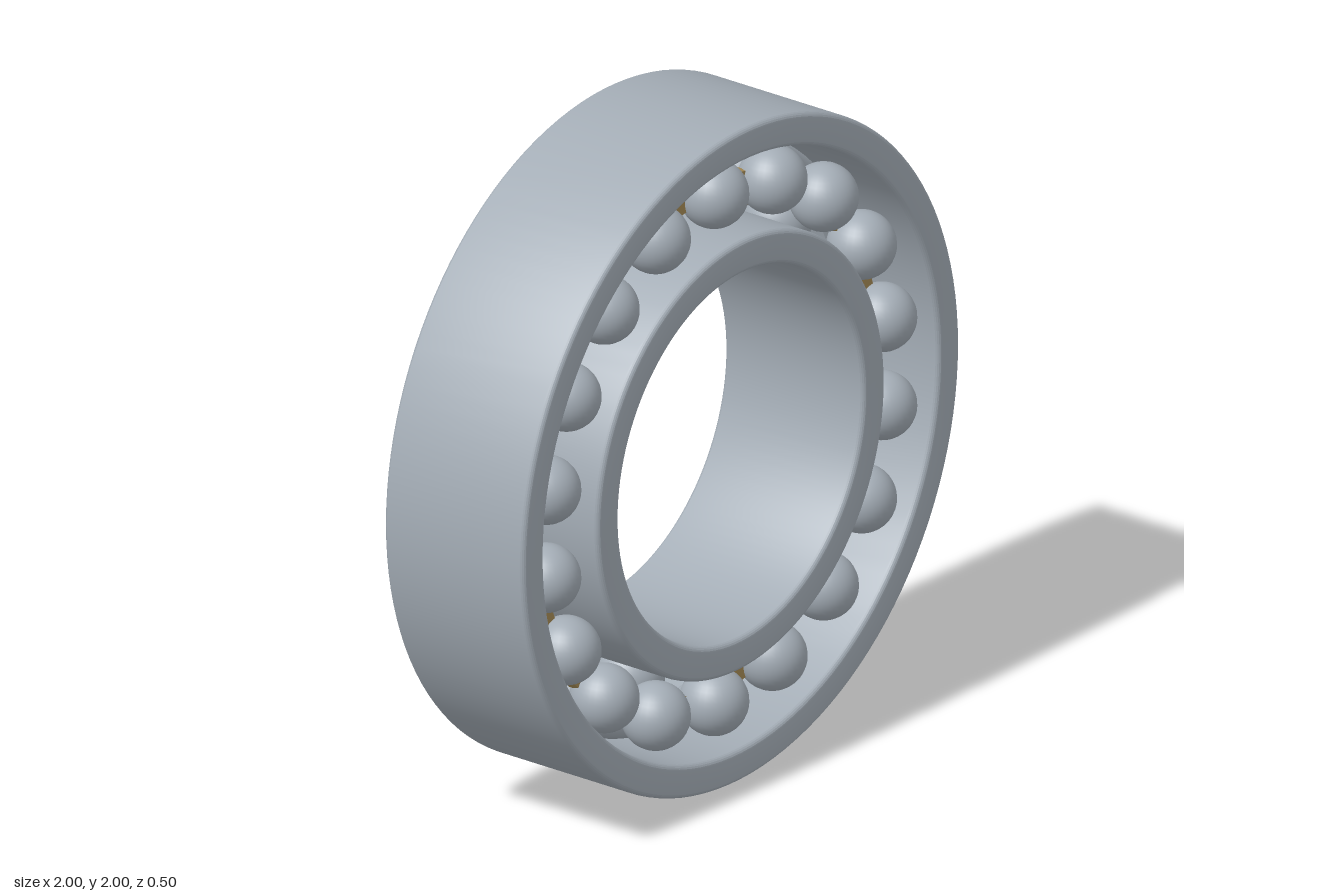
import * as THREE from 'three';
import { toCreasedNormals } from 'three/addons/utils/BufferGeometryUtils.js';

const COUNT = 18, PITCH = 0.78, BALL = 0.1, ROW_Z = 0.15, HALF = 0.25;

// Ring with rounded edges, turned around the z axis
function ringGeometry(inner, outer, fillet) {
  const pts = [];
  const steps = 5;
  const corners = [
    [outer - fillet, -HALF + fillet, -Math.PI / 2],
    [outer - fillet, HALF - fillet, 0],
    [inner + fillet, HALF - fillet, Math.PI / 2],
    [inner + fillet, -HALF + fillet, Math.PI],
  ];
  for (const [x, y, start] of corners) {
    for (let i = 0; i <= steps; i++) {
      const a = start + (i / steps) * Math.PI / 2;
      pts.push(new THREE.Vector2(x + fillet * Math.cos(a), y + fillet * Math.sin(a)));
    }
  }
  pts.push(pts[0].clone());
  const geo = new THREE.LatheGeometry(pts, 120);
  geo.rotateX(Math.PI / 2);
  return toCreasedNormals(geo, 0.3);
}

// Short curved cage bar with hollowed ends, lying across +x
function barGeometry(inner, outer, depth) {
  const mid = (inner + outer) / 2, wide = 0.072, narrow = 0.06;
  const at = (r, a) => [r * Math.cos(a), r * Math.sin(a)];
  const s = new THREE.Shape();
  s.moveTo(...at(inner, -wide));
  s.lineTo(...at(mid, -narrow));
  s.lineTo(...at(outer, -wide));
  s.lineTo(...at(outer, 0));
  s.lineTo(...at(outer, wide));
  s.lineTo(...at(mid, narrow));
  s.lineTo(...at(inner, wide));
  s.lineTo(...at(inner, 0));
  s.closePath();
  const geo = new THREE.ExtrudeGeometry(s, { depth, bevelEnabled: false });
  geo.translate(0, 0, -depth / 2);
  return geo;
}

export function createModel() {
  const steel = new THREE.MeshStandardMaterial({ color: 0xa4adb6 });
  steel.name = 'steel';
  const brass = new THREE.MeshStandardMaterial({ color: 0xa48a55 });
  brass.name = 'brass';

  const model = new THREE.Group();
  model.name = 'ballBearing';
  const add = (parent, name, geo, mat) => {
    const mesh = new THREE.Mesh(geo, mat);
    mesh.name = name;
    parent.add(mesh);
    return mesh;
  };

  // Races and the rounded guide ring between the ball rows
  add(model, 'outerRing', ringGeometry(0.9, 1, 0.018), steel);
  add(model, 'innerRing', ringGeometry(0.557, 0.66, 0.018), steel);
  add(model, 'guideRing', new THREE.TorusGeometry(0.843, 0.042, 20, 120), steel);

  // Two rows of balls, each with its cage bars set slightly behind
  const ballGeo = new THREE.SphereGeometry(BALL, 32, 20);
  const barGeo = barGeometry(0.75, 0.8, 0.04);
  for (const [label, z] of [['front', ROW_Z], ['back', -ROW_Z]]) {
    const balls = new THREE.Group();
    balls.name = label + 'Balls';
    const cage = new THREE.Group();
    cage.name = label + 'Cage';
    for (let i = 0; i < COUNT; i++) {
      const a = Math.PI / 2 + (i / COUNT) * Math.PI * 2;
      add(balls, 'ball', ballGeo, steel).position.set(PITCH * Math.cos(a), PITCH * Math.sin(a), z);
      const bar = add(cage, 'cageBar', barGeo, brass);
      bar.rotation.z = a + Math.PI / COUNT;
      bar.position.z = z - 0.05;
    }
    model.add(balls, cage);
  }

  // Stand on the ground
  for (const part of model.children) part.position.y = 1;
  return model;
}
